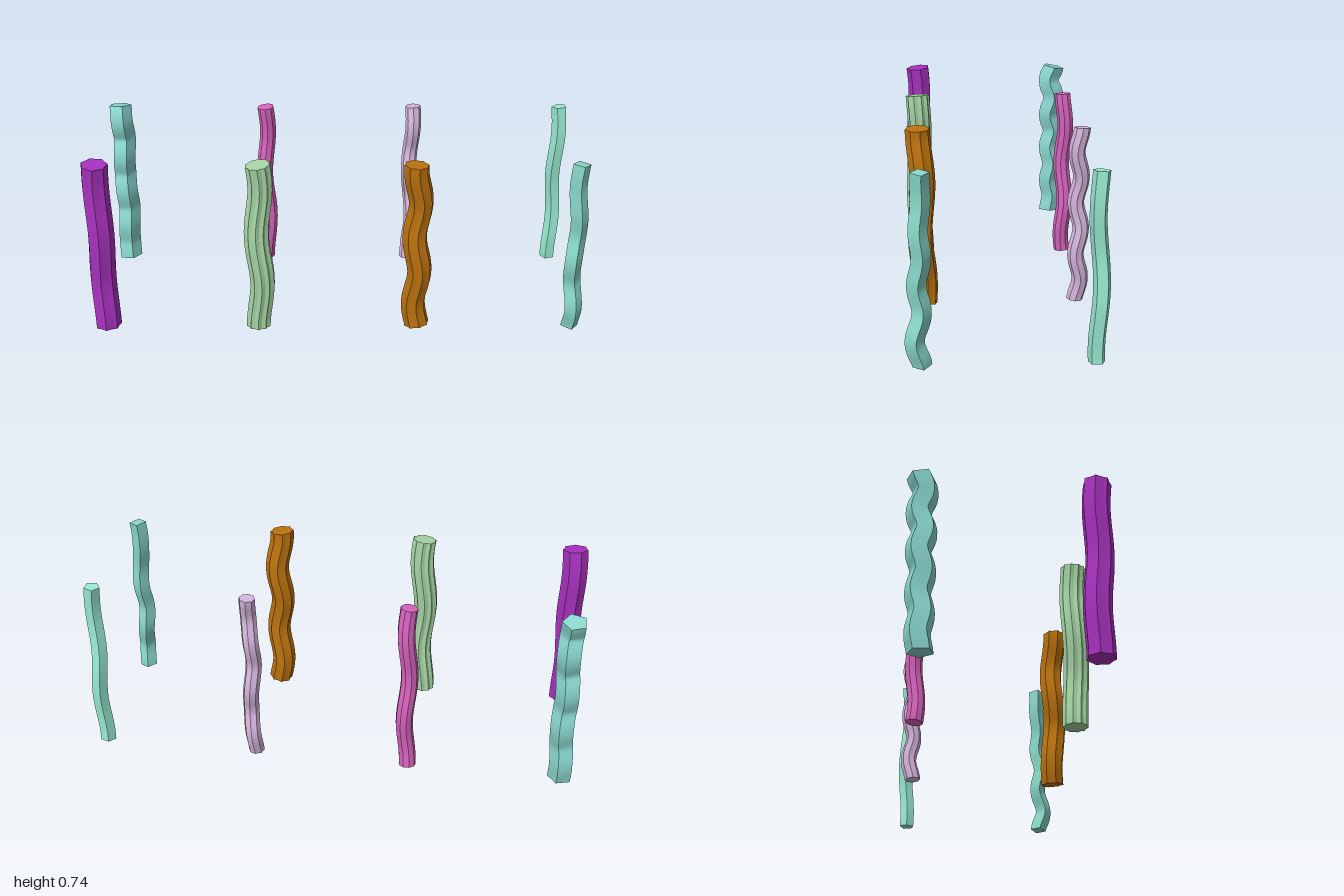
import * as THREE from 'three';
import { toCreasedNormals } from 'three/addons/utils/BufferGeometryUtils.js';

const BOTTOM = 0.009, TOP = 0.726;

// Sideways position at height t: a leaning sine wave whose swing may grow or fade upward.
function sway(t, { at, lean = 0, amp, waves, phase, grow = 0 }) {
  const swing = amp * (1 + grow * (2 * t - 1));
  return at + lean * (t - 0.5) + swing * Math.sin(Math.PI * 2 * (waves * t + phase));
}

// One wavy column: a prism (inner = 1) or fluted star section swept along its swaying centre line.
function wavyColumn(name, { color, points, radius, inner = 1, turn = 0, x, z }) {
  const centre = (t) => new THREE.Vector3(sway(t, x), BOTTOM + (TOP - BOTTOM) * t, sway(t, z));
  const sides = inner < 1 ? points * 2 : points;
  const geometry = new THREE.CylinderGeometry(1, 1, 1, sides, 48);
  const pos = geometry.attributes.position;

  for (let i = 0; i < pos.count; i++) {
    const t = THREE.MathUtils.clamp(pos.getY(i) + 0.5, 0, 1);
    const angle = Math.atan2(pos.getX(i), pos.getZ(i));
    // every second corner is pulled in to make the flutes
    const corner = Math.abs(Math.round(angle * sides / (Math.PI * 2)));
    const r = Math.hypot(pos.getX(i), pos.getZ(i)) * radius * (corner % 2 ? inner : 1);
    const dx = r * Math.sin(angle + turn), dz = r * Math.cos(angle + turn);
    // tilt each section square to the centre line
    const c = centre(t);
    const d = centre(t + 0.01).sub(centre(t - 0.01)).normalize();
    pos.setXYZ(i, c.x + dx, c.y - (d.x * dx + d.z * dz) * 0.8, c.z + dz);
  }
  const mesh = new THREE.Mesh(toCreasedNormals(geometry, 0.45),
    new THREE.MeshStandardMaterial({ color }));
  mesh.name = name;
  return mesh;
}

export function createModel() {
  const group = new THREE.Group();
  group.name = 'wavyColumns';

  // front row
  group.add(wavyColumn('purpleFlutedColumn', {
    color: 0xa932c0, points: 7, radius: 0.054, inner: 0.86,
    x: { at: -0.941, amp: 0.004, waves: 1.75, phase: 0.25 },
    z: { at: 0.317, lean: 0.014, amp: 0.006, waves: 1.75, phase: 0.25 },
  }));
  group.add(wavyColumn('greenFlutedColumn', {
    color: 0xa6d6a6, points: 10, radius: 0.051, inner: 0.86,
    x: { at: -0.309, amp: 0.01, waves: 1.7, phase: 0.76 },
    z: { at: 0.319, lean: 0.004, amp: 0.006, waves: 1.3, phase: 0.75 },
  }));
  group.add(wavyColumn('orangeFlutedColumn', {
    color: 0xbc720e, points: 8, radius: 0.05, inner: 0.86, turn: 0.2,
    x: { at: 0.322, amp: 0.011, waves: 2.4, phase: 0.41 },
    z: { at: 0.308, lean: 0.008, amp: 0.008, waves: 1.7, phase: 0.57 },
  }));
  group.add(wavyColumn('squareColumn', {
    color: 0x88d8c8, points: 4, radius: 0.036, turn: 0.15,
    x: { at: 0.953, amp: 0.007, waves: 2, phase: 0 },
    z: { at: 0.317, lean: -0.016, amp: 0.008, waves: 3.45, phase: 0.78, grow: -0.9 },
  }));

  // back row
  group.add(wavyColumn('thickPentagonColumn', {
    color: 0x8ad8d0, points: 5, radius: 0.05, turn: 0.35,
    x: { at: -0.936, amp: 0.004, waves: 2.2, phase: 0.52 },
    z: { at: -0.318, amp: 0.009, waves: 4.35, phase: 0.31, grow: 0.4 },
  }));
  group.add(wavyColumn('pinkColumn', {
    color: 0xd964bf, points: 9, radius: 0.035,
    x: { at: -0.31, amp: 0.008, waves: 1.75, phase: 0.75 },
    z: { at: -0.317, amp: 0.007, waves: 2.2, phase: 0 },
  }));
  group.add(wavyColumn('lavenderFlutedColumn', {
    color: 0xd6b6de, points: 8, radius: 0.033, inner: 0.88,
    x: { at: 0.32, amp: 0.008, waves: 1.6, phase: 0.79 },
    z: { at: -0.315, amp: 0.01, waves: 3.4, phase: 0.31 },
  }));
  group.add(wavyColumn('slimPentagonColumn', {
    color: 0x98ecd2, points: 5, radius: 0.033, turn: 0.9,
    x: { at: 0.955, amp: 0.006, waves: 1.8, phase: 0.71 },
    z: { at: -0.321, lean: 0.006, amp: 0.008, waves: 1.4, phase: 0.16 },
  }));
  return group;
}
